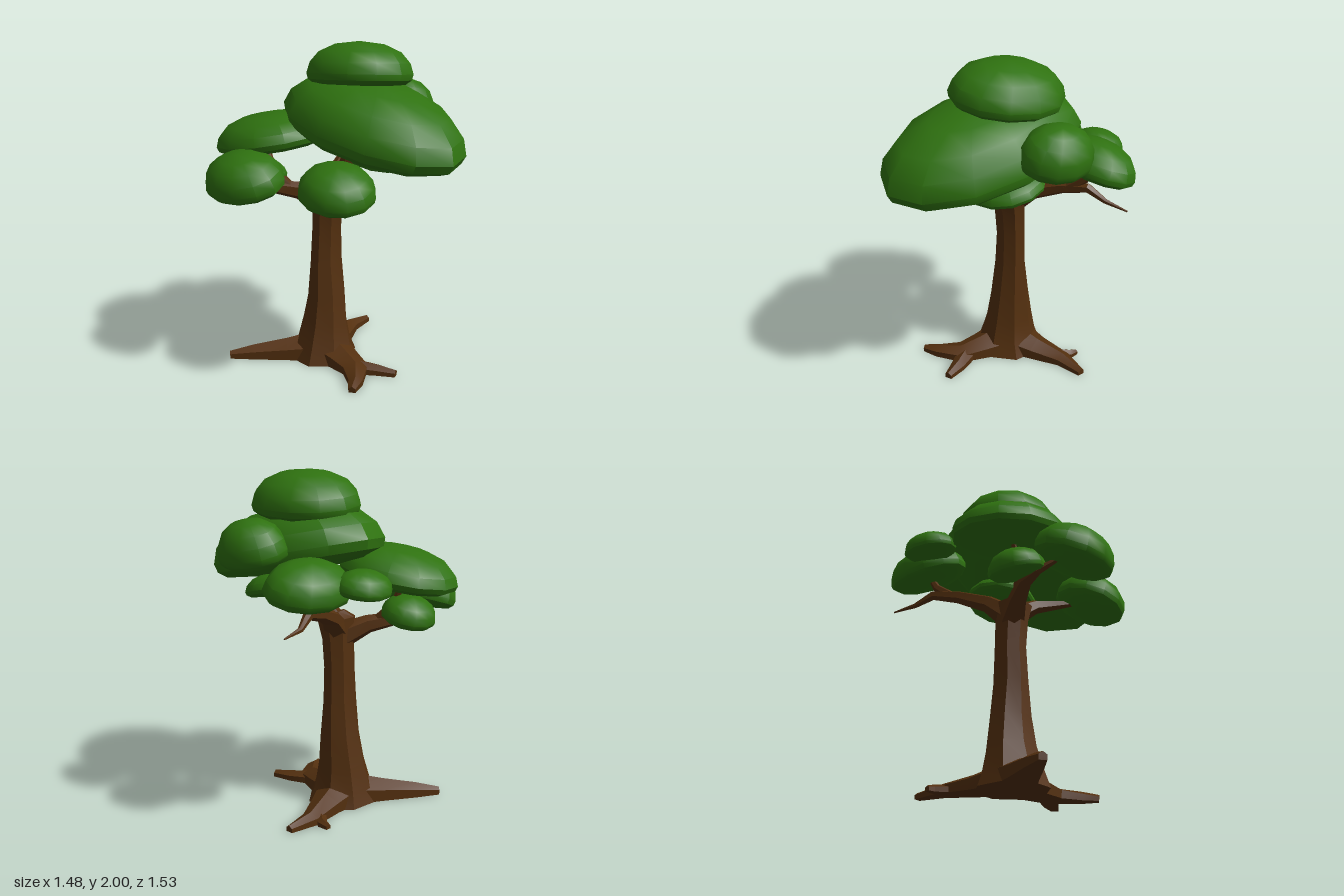
import * as THREE from 'three';
import { toCreasedNormals } from 'three/addons/utils/BufferGeometryUtils.js';

const bark = new THREE.MeshStandardMaterial({ color: 0x54300f });
const leaf = new THREE.MeshStandardMaterial({ color: 0x2f7210 });

// Tapered limb through stations [x, y, z, halfWidth, halfHeight]; onGround flattens it at y = 0
function limb(name, stations, sides = 6, onGround = false) {
  const centres = stations.map(([x, y, z]) => new THREE.Vector3(x, y, z));
  const last = centres.length - 1;
  const overall = centres[last].clone().sub(centres[0]).normalize();
  const ref = Math.abs(overall.y) > 0.85 ? new THREE.Vector3(0, 0, 1) : new THREE.Vector3(0, 1, 0);
  const pos = [], index = [];
  const push = (p) => pos.push(p.x, onGround ? Math.max(0, p.y) : p.y, p.z);
  stations.forEach(([, , , w, h = w], i) => {
    const t = centres[Math.min(i + 1, last)].clone().sub(centres[Math.max(i - 1, 0)]).normalize();
    const side = ref.clone().cross(t).normalize();
    const up = t.clone().cross(side);
    for (let j = 0; j < sides; j++) {
      const a = ((j + 0.5) / sides) * Math.PI * 2;
      push(centres[i].clone().addScaledVector(side, w * Math.cos(a)).addScaledVector(up, h * Math.sin(a)));
    }
  });
  push(centres[0]);
  push(centres[last]);
  const start = stations.length * sides;
  for (let j = 0; j < sides; j++) {
    const k = (j + 1) % sides;
    for (let i = 0; i < last; i++) {
      const a = i * sides + j, b = i * sides + k;
      index.push(a, b, a + sides, b, b + sides, a + sides);
    }
    index.push(start, k, j, start + 1, last * sides + j, last * sides + k);
  }
  const geo = new THREE.BufferGeometry();
  geo.setAttribute('position', new THREE.Float32BufferAttribute(pos, 3));
  geo.setIndex(index);
  const mesh = new THREE.Mesh(toCreasedNormals(geo, 0.5), bark);
  mesh.name = name;
  return mesh;
}

// Leaf cushion: low dome above a rounded rim, nearly flat underneath
const cushion = [
  [0, -0.36], [0.5, -0.34], [0.86, -0.27], [0.97, -0.14], [1, 0.04],
  [0.94, 0.36], [0.77, 0.68], [0.46, 0.91], [0, 1],
].map(([x, y]) => new THREE.Vector2(x, y));

function foliage(name, [x, y, z], rx, height, rz, tiltX = 0, tiltZ = 0) {
  const geo = new THREE.LatheGeometry(cushion, 12);
  geo.scale(rx, height, rz);
  geo.deleteAttribute('normal');
  geo.deleteAttribute('uv');
  const mesh = new THREE.Mesh(toCreasedNormals(geo, 0.62), leaf);
  mesh.position.set(x, y, z);
  mesh.rotation.set(tiltX, 0, tiltZ);
  mesh.name = name;
  return mesh;
}

export function createModel() {
  const tree = new THREE.Group();
  tree.name = 'tree';

  // Trunk, flared at the foot and at the fork
  tree.add(limb('trunk', [
    [-0.01, 0.0, -0.14, 0.22, 0.21],
    [-0.01, 0.1, -0.14, 0.18, 0.18],
    [0.0, 0.24, -0.14, 0.145, 0.15],
    [0.01, 0.42, -0.135, 0.125, 0.12],
    [0.01, 0.64, -0.135, 0.11, 0.09],
    [0.015, 0.85, -0.135, 0.1, 0.085],
    [0.015, 1.02, -0.125, 0.105, 0.09],
    [0.015, 1.13, -0.11, 0.12, 0.11],
    [0.02, 1.17, -0.1, 0.06, 0.06],
  ], 8));

  // Three spreading roots, with forked ends
  const roots = new THREE.Group();
  roots.name = 'roots';
  roots.add(
    limb('leftRoot', [[0, 0.03, -0.15, 0.16, 0.14], [0.2, 0.02, -0.22, 0.1, 0.085],
      [0.38, 0.015, -0.29, 0.06, 0.05], [0.55, 0.01, -0.3, 0.025, 0.03]], 6, true),
    limb('leftRootFork', [[0.28, 0.01, -0.25, 0.05, 0.05], [0.36, 0.01, -0.37, 0.03, 0.035],
      [0.36, 0.01, -0.42, 0.018, 0.02]], 6, true),
    limb('backRoot', [[0, 0.03, -0.14, 0.16, 0.14], [-0.2, 0.025, -0.29, 0.1, 0.09],
      [-0.37, 0.02, -0.42, 0.06, 0.06], [-0.49, 0.015, -0.51, 0.025, 0.03]], 6, true),
    limb('frontRoot', [[0, 0.03, -0.14, 0.16, 0.14], [-0.03, 0.025, 0.06, 0.11, 0.085],
      [-0.06, 0.02, 0.2, 0.09, 0.055], [-0.17, 0.015, 0.31, 0.05, 0.045],
      [-0.25, 0.01, 0.36, 0.025, 0.03]], 6, true),
    limb('frontRootFork', [[-0.04, 0.015, 0.16, 0.07, 0.055], [0.04, 0.01, 0.29, 0.05, 0.045],
      [0.09, 0.01, 0.4, 0.025, 0.03]], 6, true),
  );
  tree.add(roots);

  // Branches
  const branches = new THREE.Group();
  branches.name = 'branches';
  branches.add(
    limb('leftBranch', [[0.03, 1.07, -0.13, 0.08], [0.14, 1.16, -0.2, 0.055], [0.3, 1.22, -0.29, 0.04],
      [0.45, 1.25, -0.36, 0.03], [0.55, 1.19, -0.41, 0.016], [0.69, 1.17, -0.45, 0.005]]),
    limb('leftBranchFork', [[0.33, 1.22, -0.3, 0.035], [0.43, 1.3, -0.35, 0.025], [0.48, 1.4, -0.38, 0.015]]),
    limb('leftUpperTwig', [[0.12, 1.13, -0.18, 0.04], [0.22, 1.22, -0.12, 0.03], [0.28, 1.33, -0.02, 0.015]]),
    limb('backBranch', [[0, 1.03, -0.14, 0.08], [-0.12, 1.1, -0.24, 0.055], [-0.25, 1.13, -0.34, 0.04],
      [-0.37, 1.14, -0.38, 0.025], [-0.47, 1.2, -0.33, 0.015]]),
    limb('backUpperTwig', [[-0.16, 1.11, -0.27, 0.04], [-0.22, 1.23, -0.36, 0.025], [-0.22, 1.38, -0.42, 0.012]]),
    limb('frontBranch', [[0.01, 1.08, -0.11, 0.07], [-0.05, 1.17, 0.02, 0.045], [-0.14, 1.2, 0.13, 0.03],
      [-0.25, 1.23, 0.24, 0.015]]),
    limb('topBranch', [[0.02, 1.1, -0.11, 0.08], [0.04, 1.22, -0.03, 0.045], [0.05, 1.34, 0.02, 0.035],
      [0.08, 1.52, 0.06, 0.02]]),
  );
  tree.add(branches);

  // Foliage, from the crown down
  const crown = new THREE.Group();
  crown.name = 'crown';
  crown.add(
    foliage('topFoliage', [0.15, 1.805, 0.005], 0.305, 0.195, 0.34, -0.07, -0.09),
    foliage('mainFoliage', [0.115, 1.5, 0.145], 0.435, 0.29, 0.63, 0.2, -0.03),
    foliage('leftFoliage', [0.555, 1.56, -0.02], 0.185, 0.19, 0.22, 0, -0.25),
    foliage('leftBackFoliage', [0.475, 1.39, -0.385], 0.26, 0.16, 0.21, -0.3, -0.08),
    foliage('smallBackFoliage', [0.265, 1.4, -0.59], 0.165, 0.1, 0.145, -0.2, 0),
    foliage('backFoliage', [-0.19, 1.41, -0.4], 0.33, 0.165, 0.37, -0.15, 0.08),
    foliage('rightFoliage', [-0.525, 1.23, -0.245], 0.215, 0.175, 0.27, 0, 0.3),
    foliage('rightFrontFoliage', [-0.29, 1.22, 0.275], 0.215, 0.16, 0.23, 0.2, 0.2),
    foliage('lowerBackFoliage', [-0.26, 1.16, -0.43], 0.17, 0.12, 0.16, -0.3, 0),
    foliage('lowerFrontFoliage', [0.26, 1.315, 0.08], 0.23, 0.11, 0.225, 0.22, 0.03),
  );
  tree.add(crown);
  return tree;
}
